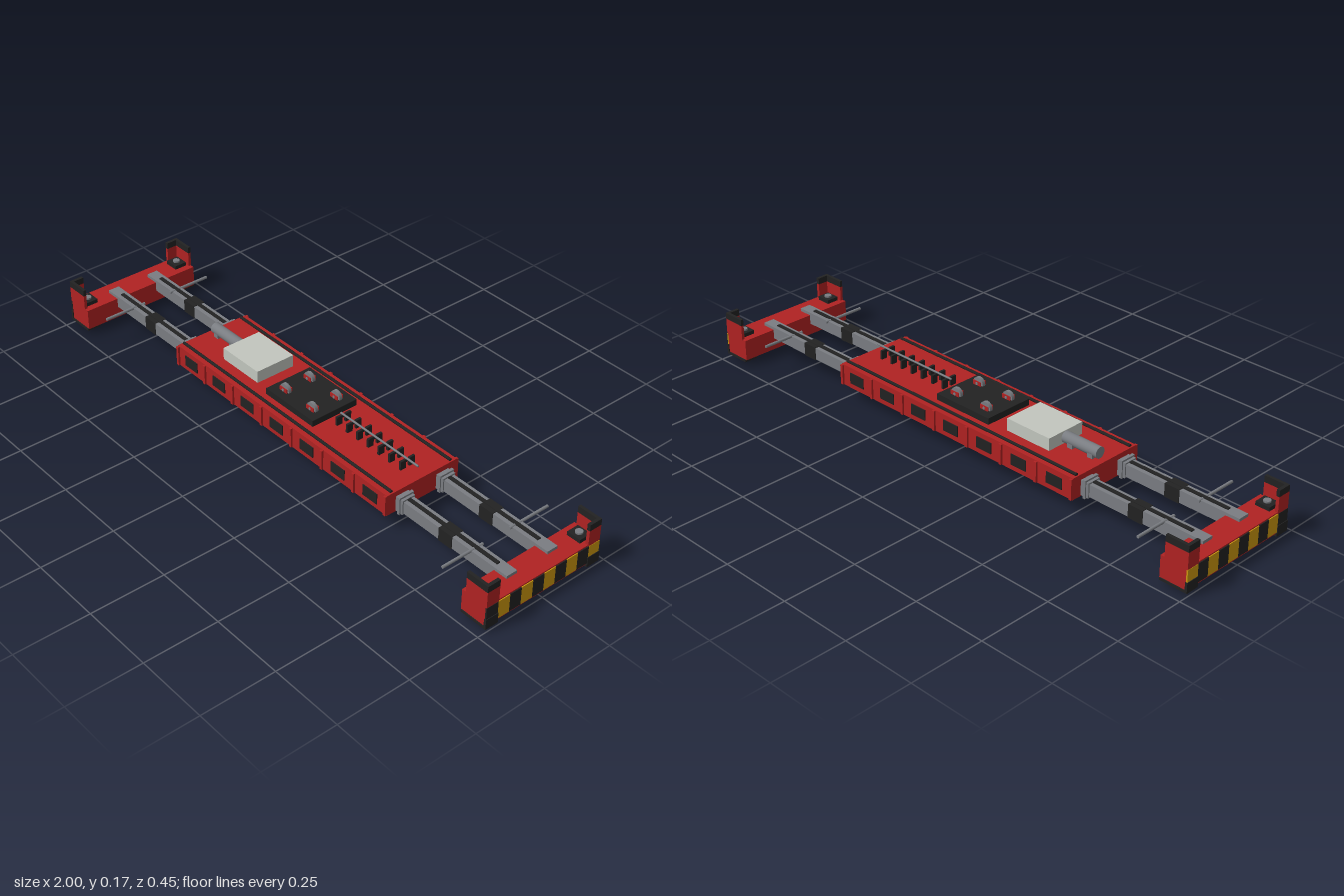
import * as THREE from 'three';

const mat = (name, color) => Object.assign(new THREE.MeshStandardMaterial({ color }), { name });

export function createModel() {
  const red = mat('red paint', 0xb02222);
  const black = mat('black', 0x222222);
  const grey = mat('steel grey', 0x7a7d82);
  const yellow = mat('warning yellow', 0xcc980e);
  const pale = mat('pale cabinet', 0xc2c6be);

  const root = new THREE.Group();
  root.name = 'containerSpreader';

  const add = (parent, name, geo, m) => {
    const mesh = new THREE.Mesh(geo, m);
    mesh.name = name;
    parent.add(mesh);
    return mesh;
  };
  // Box given by its min and max on each axis
  const box = (parent, name, m, x0, x1, y0, y1, z0, z1) => {
    const mesh = add(parent, name, new THREE.BoxGeometry(Math.abs(x1 - x0), y1 - y0, Math.abs(z1 - z0)), m);
    mesh.position.set((x0 + x1) / 2, (y0 + y1) / 2, (z0 + z1) / 2);
    return mesh;
  };
  // Cylinder along one axis
  const rod = (parent, name, m, axis, r, len, x, y, z, sides = 16) => {
    const geo = new THREE.CylinderGeometry(r, r, len, sides);
    if (axis === 'x') geo.rotateZ(Math.PI / 2);
    if (axis === 'z') geo.rotateX(Math.PI / 2);
    const mesh = add(parent, name, geo, m);
    mesh.position.set(x, y, z);
    return mesh;
  };

  // Main frame with side windows, ribs and top rails
  const frame = new THREE.Group();
  frame.name = 'mainFrame';
  root.add(frame);
  box(frame, 'frameBody', red, -0.505, 0.505, 0.052, 0.125, -0.138, 0.138);
  for (const s of [-1, 1]) {
    for (let i = 0; i < 7; i++) {
      const x = -0.432 + 0.144 * i;
      box(frame, 'sidePocket', black, x - 0.031, x + 0.031, 0.07, 0.107, s * 0.136, s * 0.141);
    }
    for (let i = 0; i < 8; i++) {
      const x = THREE.MathUtils.clamp(-0.504 + 0.144 * i, -0.5, 0.5);
      box(frame, 'sideRib', red, x - 0.005, x + 0.005, 0.054, 0.123, s * 0.136, s * 0.145);
    }
    rod(frame, 'topRail', black, 'x', 0.005, 1, 0, 0.128, s * 0.117, 10);
  }

  // Equipment cabinet and motor
  box(root, 'cabinet', pale, -0.348, -0.175, 0.125, 0.167, -0.072, 0.072);
  rod(root, 'motor', grey, 'x', 0.019, 0.137, -0.416, 0.146, 0, 20);
  for (const x of [-0.46, -0.38]) box(root, 'motorFoot', grey, x - 0.01, x + 0.01, 0.125, 0.14, -0.018, 0.018);

  // Head block platform with four sheaves
  const head = new THREE.Group();
  head.name = 'headBlock';
  root.add(head);
  box(head, 'platform', black, -0.112, 0.112, 0.125, 0.147, -0.088, 0.088);
  for (const x of [-0.064, 0.064]) for (const z of [-0.048, 0.048]) {
    rod(head, 'sheave', grey, 'z', 0.021, 0.011, x, 0.151, z, 20);
    for (const d of [-0.01, 0.01]) {
      box(head, 'sheaveCheek', red, x - 0.017, x + 0.017, 0.147, 0.161, z + d - 0.0015, z + d + 0.0015);
    }
    rod(head, 'sheavePin', grey, 'z', 0.005, 0.026, x, 0.153, z, 10);
  }

  // Cable carrier: a rail between two rows of blades
  const carrier = new THREE.Group();
  carrier.name = 'cableCarrier';
  root.add(carrier);
  rod(carrier, 'carrierRail', grey, 'x', 0.0035, 0.345, 0.313, 0.153, 0, 8);
  for (let i = 0; i < 7; i++) {
    const x = 0.152 + 0.0475 * i;
    for (const s of [-1, 1]) box(carrier, 'carrierBlade', black, x - 0.004, x + 0.004, 0.125, 0.155, s * 0.007, s * 0.028);
    box(carrier, 'carrierBracket', black, x - 0.003, x + 0.003, 0.145, 0.152, -0.01, 0.01);
  }

  for (const e of [-1, 1]) {
    const end = new THREE.Group();
    end.name = e > 0 ? 'leftEnd' : 'rightEnd';
    root.add(end);

    // Telescopic arms
    for (const s of [-1, 1]) {
      const z = s * 0.08;
      box(end, 'arm', grey, e * 0.5, e * 0.952, 0.06, 0.102, z - 0.02, z + 0.02);
      box(end, 'armTrack', black, e * 0.53, e * 0.9, 0.102, 0.106, z - 0.006, z + 0.006);
      box(end, 'armBand', black, e * 0.683, e * 0.737, 0.058, 0.104, z - 0.022, z + 0.022);
      box(end, 'armSleeve', grey, e * 0.5, e * 0.535, 0.056, 0.107, z - 0.024, z + 0.024);
      box(end, 'sleeveFlange', grey, e * 0.516, e * 0.526, 0.052, 0.113, z - 0.028, z + 0.028);
      rod(end, 'crossRod', grey, 'z', 0.005, 0.155, e * 0.81, 0.1, s * 0.13, 10);
    }

    // Cross beam with hazard stripes on its end face
    box(end, 'crossBeam', red, e * 0.903, e * 0.997, 0.02, 0.092, -0.221, 0.221);
    for (let i = 0; i < 10; i++) {
      const z = 0.222 - 0.0444 * i;
      box(end, 'hazardStripe', i % 2 ? yellow : black, e * 0.995, e * 1.0, 0.026, 0.088, z - 0.0444, z);
    }

    // Corner guides, castings and twistlocks
    for (const s of [-1, 1]) {
      const corner = new THREE.Group();
      corner.name = 'corner';
      end.add(corner);
      for (const [m, y0, y1] of [[red, 0.088, 0.143], [black, 0.143, 0.165]]) {
        box(corner, 'endGuidePlate', m, e * 0.988, e * 0.999, y0, y1, s * 0.175, s * 0.222);
        box(corner, 'sideGuidePlate', m, e * 0.918, e * 0.988, y0, y1, s * 0.212, s * 0.222);
      }
      box(corner, 'lockHousing', black, e * 0.928, e * 0.978, 0.092, 0.105, s * 0.163, s * 0.207);
      rod(corner, 'lockHead', grey, 'y', 0.012, 0.006, e * 0.953, 0.108, s * 0.185, 12);
      box(corner, 'castingBase', black, e * 0.905, e * 1.0, 0.013, 0.021, s * 0.175, s * 0.224);
      box(corner, 'castingPlate', black, e * 0.994, e * 1.002, 0.013, 0.048, s * 0.177, s * 0.224);
      rod(corner, 'lockCollar', grey, 'y', 0.016, 0.008, e * 0.953, 0.013, s * 0.18, 16);
      const tip = add(corner, 'twistlock', new THREE.CylinderGeometry(0.009, 0.003, 0.01, 12), black);
      tip.position.set(e * 0.953, 0.005, s * 0.18);
    }
  }
  return root;
}
